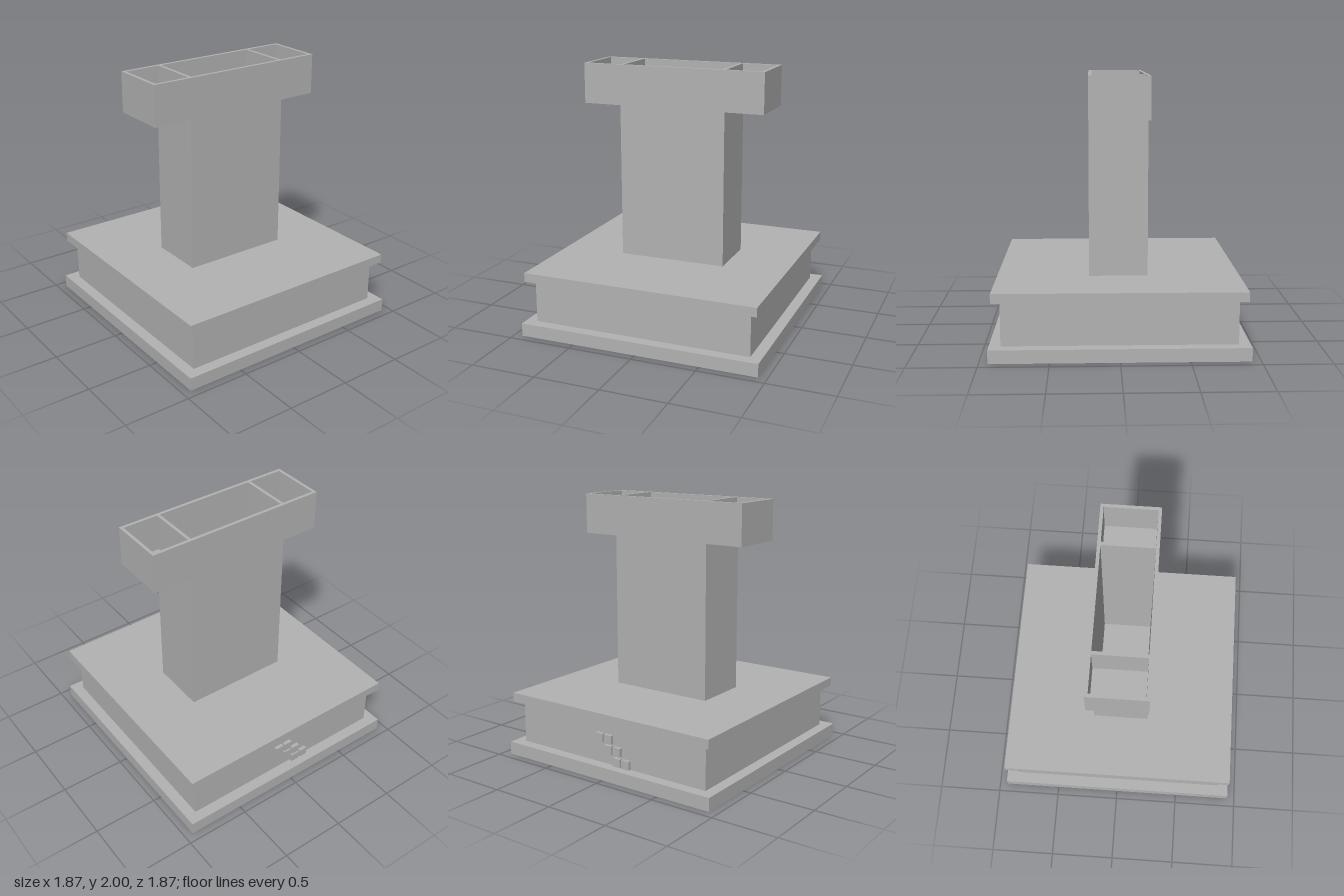
import * as THREE from 'three';

const WALL = 0.025;

export function createModel() {
  const model = new THREE.Group();
  model.name = 'pedestalWithTrough';
  const grey = new THREE.MeshStandardMaterial({ color: 0xb2b2b2 });
  grey.name = 'plainGrey';

  // Box given by its lower and upper corners
  function box(name, [x0, y0, z0], [x1, y1, z1], parent = model) {
    const mesh = new THREE.Mesh(new THREE.BoxGeometry(x1 - x0, y1 - y0, z1 - z0), grey);
    mesh.position.set((x0 + x1) / 2, (y0 + y1) / 2, (z0 + z1) / 2);
    mesh.name = name;
    parent.add(mesh);
  }

  // Stepped square base
  box('basePlinth', [-0.935, 0, -0.935], [0.935, 0.1, 0.935]);
  box('baseBody', [-0.85, 0.1, -0.85], [0.85, 0.43, 0.85]);
  box('baseCap', [-0.91, 0.43, -0.91], [0.91, 0.5, 0.91]);

  // Hollow, open-topped column
  const rect = (Type, w, d) => new Type([[-w, -d], [w, -d], [w, d], [-w, d]].map(p => new THREE.Vector2(...p)));
  const outline = rect(THREE.Shape, 0.42, 0.22);
  outline.holes.push(rect(THREE.Path, 0.42 - WALL, 0.22 - WALL));
  const columnGeometry = new THREE.ExtrudeGeometry(outline, { depth: 1.5, bevelEnabled: false });
  columnGeometry.rotateX(-Math.PI / 2);
  const column = new THREE.Mesh(columnGeometry, grey);
  column.position.y = 0.5;
  column.name = 'hollowColumn';
  model.add(column);

  // Open side pockets at the top of the column
  for (const [name, turn] of [['leftPocket', 0], ['rightPocket', Math.PI]]) {
    const pocket = new THREE.Group();
    pocket.name = name;
    pocket.rotation.y = turn;
    const floorTop = 1.69 + WALL;
    box('pocketFloor', [0.42, 1.69, -0.22], [0.72, floorTop, 0.22], pocket);
    box('pocketEndWall', [0.72 - WALL, floorTop, -0.22], [0.72, 2, 0.22], pocket);
    box('pocketFrontWall', [0.42, floorTop, 0.22 - WALL], [0.72 - WALL, 2, 0.22], pocket);
    box('pocketBackWall', [0.42, floorTop, -0.22], [0.72 - WALL, 2, -0.22 + WALL], pocket);
    model.add(pocket);
  }

  // Stepped pairs of small blocks on the back of the base
  for (let row = 0; row < 3; row++) {
    for (let i = 0; i < 2; i++) {
      const x = 0.073 - 0.08 * (row + i), y = 0.3 - 0.082 * row;
      box('backBlock', [x - 0.033, y - 0.033, -0.877], [x + 0.033, y + 0.033, -0.85]);
    }
  }
  return model;
}
